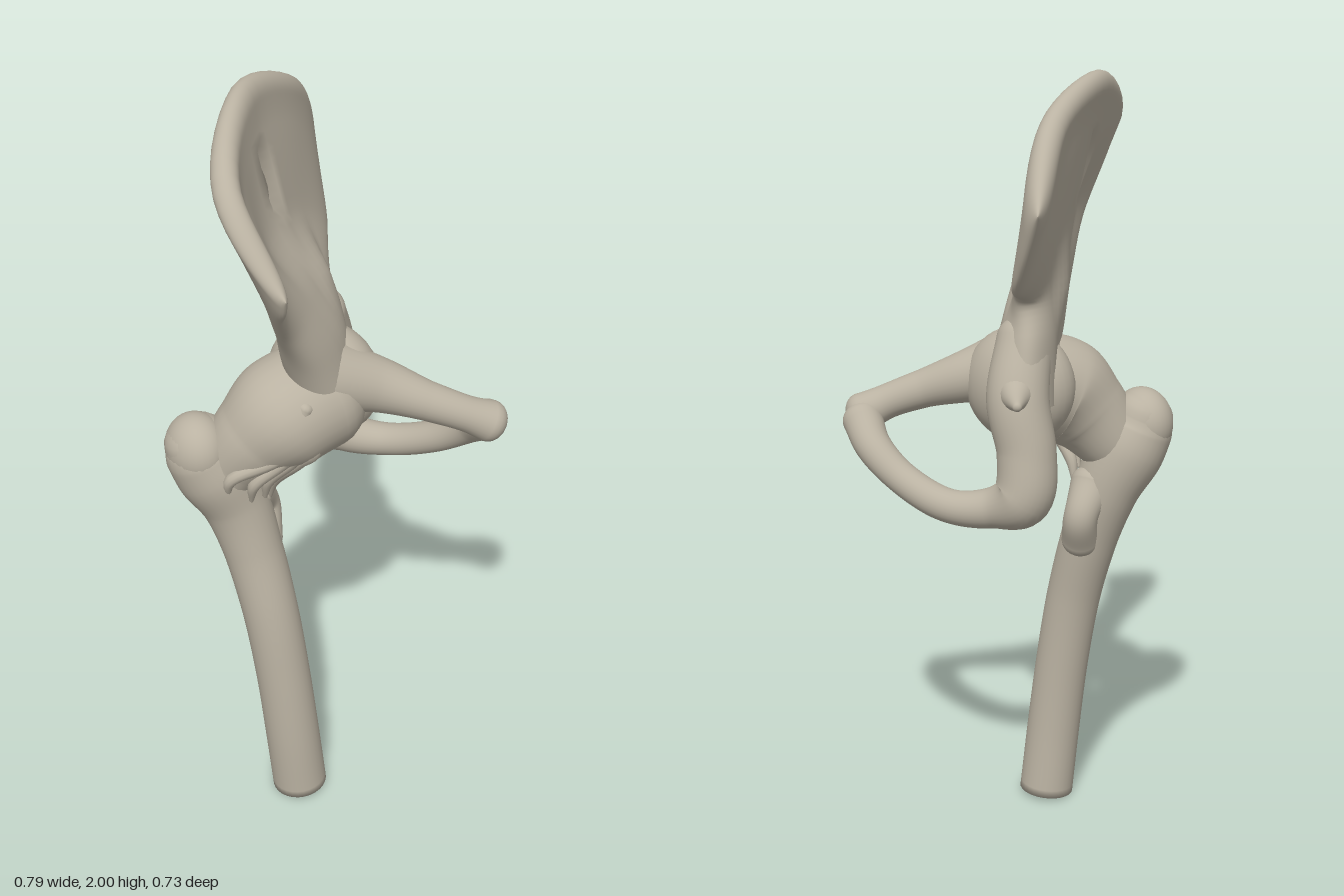
import * as THREE from 'three';
import { mergeVertices } from 'three/addons/utils/BufferGeometryUtils.js';

const bone = new THREE.MeshStandardMaterial({ color: 0xbab2a2 });
bone.name = 'bone';

const posCurve = (pts) => new THREE.CatmullRomCurve3(pts.map((p) => new THREE.Vector3(p[0], p[1], p[2])));
const sizeCurve = (pts) => new THREE.CatmullRomCurve3(pts.map((p) => new THREE.Vector3(p[3], 0, 0)));

// Skins a list of closed rings that all have the same number of points
function skin(rings) {
  const n = rings[0].length;
  const index = [];
  for (let i = 0; i < rings.length - 1; i++) {
    for (let j = 0; j < n; j++) {
      const k = (j + 1) % n;
      const a = i * n + j, b = i * n + k, c = a + n, d = b + n;
      index.push(a, b, c, b, d, c);
    }
  }
  const geo = new THREE.BufferGeometry().setFromPoints(rings.flat());
  geo.setIndex(index);
  const merged = mergeVertices(geo, 1e-5);
  merged.computeVertexNormals();
  return merged;
}

// Round limb through [x, y, z, radius] points with domed ends
function limb(pts, { steps = 48, sides = 28, flatStart = false } = {}) {
  const path = posCurve(pts), size = sizeCurve(pts);
  const rings = [];
  let normal = new THREE.Vector3(0.3, 0.2, 1);
  const addRing = (t, scale, push) => {
    const tan = path.getTangent(t);
    normal = normal.clone().addScaledVector(tan, -normal.dot(tan)).normalize();
    const side = tan.clone().cross(normal);
    const r = size.getPoint(t).x;
    const centre = path.getPoint(t).addScaledVector(tan, push * r);
    rings.push(Array.from({ length: sides }, (_, j) => {
      const a = (j / sides) * Math.PI * 2;
      return centre.clone()
        .addScaledVector(normal, Math.cos(a) * r * scale)
        .addScaledVector(side, Math.sin(a) * r * scale);
    }));
  };
  const dome = 7;
  if (flatStart) addRing(0, 0, 0);
  else for (let i = 0; i < dome; i++) {
    const a = (i / dome) * Math.PI / 2;
    addRing(0, Math.sin(a), -Math.cos(a) * 0.8);
  }
  for (let i = 0; i <= steps; i++) addRing(i / steps, 1, 0);
  for (let i = 1; i <= dome; i++) {
    const a = (i / dome) * Math.PI / 2;
    addRing(1, Math.cos(a), Math.sin(a) * 0.8);
  }
  return skin(rings);
}

// Curved blade through rows of [x, y, z, half thickness], with rounded edges
function blade(rows, nu = 40, nv = 44) {
  const paths = rows.map(posCurve), sizes = rows.map(sizeCurve);
  const across = (curves, u, v) => new THREE.CatmullRomCurve3(curves.map((c) => c.getPoint(u))).getPoint(v);
  const at = (u, v) => across(paths, u, v);
  const rings = [];
  for (let i = 0; i <= nv; i++) {
    const v = Math.sin((i / nv) * Math.PI / 2);
    const vEdge = Math.sqrt(Math.max(0, 1 - Math.max(0, (v - 0.92) / 0.08) ** 2));
    const outer = [], inner = [];
    for (let j = 0; j <= nu; j++) {
      const u = (1 - Math.cos((j / nu) * Math.PI)) / 2;
      const e = 0.004;
      const du = at(Math.min(1, u + e), v).sub(at(Math.max(0, u - e), v));
      const dv = at(u, Math.min(1, v + e)).sub(at(u, Math.max(0, v - e)));
      const uEdge = Math.sqrt(Math.max(0, 1 - Math.abs(2 * u - 1) ** 6));
      const offset = du.cross(dv).normalize().multiplyScalar(across(sizes, u, v).x * uEdge * vEdge);
      const p = at(u, v);
      outer.push(p.clone().add(offset));
      if (j > 0 && j < nu) inner.unshift(p.clone().sub(offset));
    }
    rings.push([...outer, ...inner]);
  }
  return skin(rings);
}

export function createModel() {
  const model = new THREE.Group();
  model.name = 'hipJoint';
  const add = (name, geo, parent = model) => {
    const mesh = new THREE.Mesh(geo, bone);
    mesh.name = name;
    parent.add(mesh);
    return mesh;
  };
  const knob = (name, pos, radii, parent, rot = [0, 0, 0]) => {
    const mesh = add(name, new THREE.SphereGeometry(1, 32, 24), parent);
    mesh.position.set(...pos);
    mesh.scale.set(...radii);
    mesh.rotation.set(...rot);
  };

  const pelvis = new THREE.Group();
  pelvis.name = 'pelvis';
  const femur = new THREE.Group();
  femur.name = 'femur';
  model.add(pelvis, femur);

  // Flared wing, rows rising from the socket to the crest, front edge to back edge
  add('iliacWing', blade([
    [[-0.08, 1.22, 0.17, 0.06], [-0.03, 1.21, 0.11, 0.08], [0.01, 1.2, 0.03, 0.09], [0.05, 1.2, -0.05, 0.08], [0.11, 1.22, -0.14, 0.05]],
    [[-0.13, 1.36, 0.19, 0.05], [-0.08, 1.36, 0.11, 0.07], [-0.02, 1.36, 0.04, 0.075], [0.03, 1.36, -0.04, 0.07], [0.08, 1.36, -0.12, 0.045]],
    [[-0.2, 1.47, 0.22, 0.035], [-0.13, 1.49, 0.11, 0.045], [-0.06, 1.49, 0.03, 0.05], [0.01, 1.48, -0.04, 0.05], [0.08, 1.46, -0.09, 0.04]],
    [[-0.26, 1.57, 0.29, 0.03], [-0.21, 1.65, 0.13, 0.022], [-0.11, 1.67, 0.01, 0.022], [0.01, 1.63, -0.1, 0.028], [0.15, 1.51, -0.19, 0.035]],
    [[-0.28, 1.62, 0.34, 0.032], [-0.29, 1.8, 0.15, 0.025], [-0.15, 1.87, -0.02, 0.022], [0.02, 1.82, -0.15, 0.028], [0.17, 1.58, -0.26, 0.04]],
    [[-0.29, 1.67, 0.365, 0.035], [-0.33, 1.88, 0.17, 0.036], [-0.17, 1.998, -0.04, 0.034], [0.05, 1.92, -0.19, 0.036], [0.185, 1.72, -0.36, 0.045]],
  ]), pelvis);

  // Socket body
  knob('socketBody', [0.01, 1.22, 0.04], [0.11, 0.15, 0.15], pelvis, [0, 0.5, 0]);

  // Ischium and lower ramus sweeping forward to the pubis
  add('ischiumAndLowerRamus', limb([
    [0.04, 1.36, -0.04, 0.07], [0.085, 1.22, -0.085, 0.078], [0.08, 1.09, -0.12, 0.074],
    [0.095, 0.985, -0.125, 0.076], [0.15, 0.947, -0.07, 0.052], [0.23, 0.942, 0.01, 0.043],
    [0.3, 0.99, 0.12, 0.042], [0.342, 1.06, 0.21, 0.046], [0.34, 1.115, 0.28, 0.052],
  ], { steps: 72 }), pelvis);

  // Upper ramus
  add('upperRamus', limb([
    [-0.04, 1.27, 0.09, 0.1], [0.09, 1.23, 0.15, 0.07], [0.19, 1.19, 0.225, 0.05],
    [0.27, 1.155, 0.275, 0.045], [0.33, 1.125, 0.3, 0.053],
  ]), pelvis);

  // Spine on the rear edge of the ischium
  add('ischialSpine', limb([
    [0.09, 1.25, -0.09, 0.06], [0.12, 1.24, -0.14, 0.035], [0.135, 1.23, -0.172, 0.012],
  ], { steps: 16 }), pelvis);

  // Thigh bone shaft ending in the large outer knob
  add('femurShaft', limb([
    [-0.125, 0.008, 0.137, 0.073], [-0.145, 0.2, 0.132, 0.072], [-0.163, 0.4, 0.117, 0.071],
    [-0.183, 0.6, 0.09, 0.072], [-0.205, 0.78, 0.045, 0.076], [-0.235, 0.92, 0.01, 0.087],
    [-0.28, 1.02, -0.01, 0.1], [-0.31, 1.08, -0.02, 0.092], [-0.32, 1.11, -0.025, 0.08],
  ], { steps: 72, flatStart: true }), femur);
  knob('greaterTrochanter', [-0.32, 1.09, -0.02], [0.077, 0.093, 0.09], femur);
  add('lesserTrochanter', limb([
    [-0.19, 0.93, 0.01, 0.06], [-0.14, 0.86, -0.015, 0.045], [-0.16, 0.78, 0.02, 0.05],
  ], { steps: 24 }), femur);

  // Head, neck and surrounding capsule
  add('neckAndCapsule', limb([
    [-0.03, 1.2, 0.07, 0.14], [-0.12, 1.18, 0.07, 0.142], [-0.19, 1.12, 0.045, 0.115],
    [-0.24, 1.05, 0.015, 0.092], [-0.27, 1.0, 0, 0.08],
  ]), femur);

  // Torn ligament strands draped over the front of the neck
  const strands = [[-0.29, 0.99, 0.075], [-0.235, 0.97, 0.095], [-0.19, 0.96, 0.085], [-0.16, 0.93, 0.055]];
  strands.forEach(([x, y, z], i) => add('ligamentStrand' + (i + 1), limb([
    [-0.13 + i * 0.02, 1.25 - i * 0.03, 0.18, 0.02], [-0.18 + i * 0.018, 1.12 - i * 0.01, 0.155, 0.02],
    [x, y + 0.06, z + 0.02, 0.016], [x, y, z, 0.006],
  ], { steps: 20, sides: 12 }), femur));

  return model;
}
